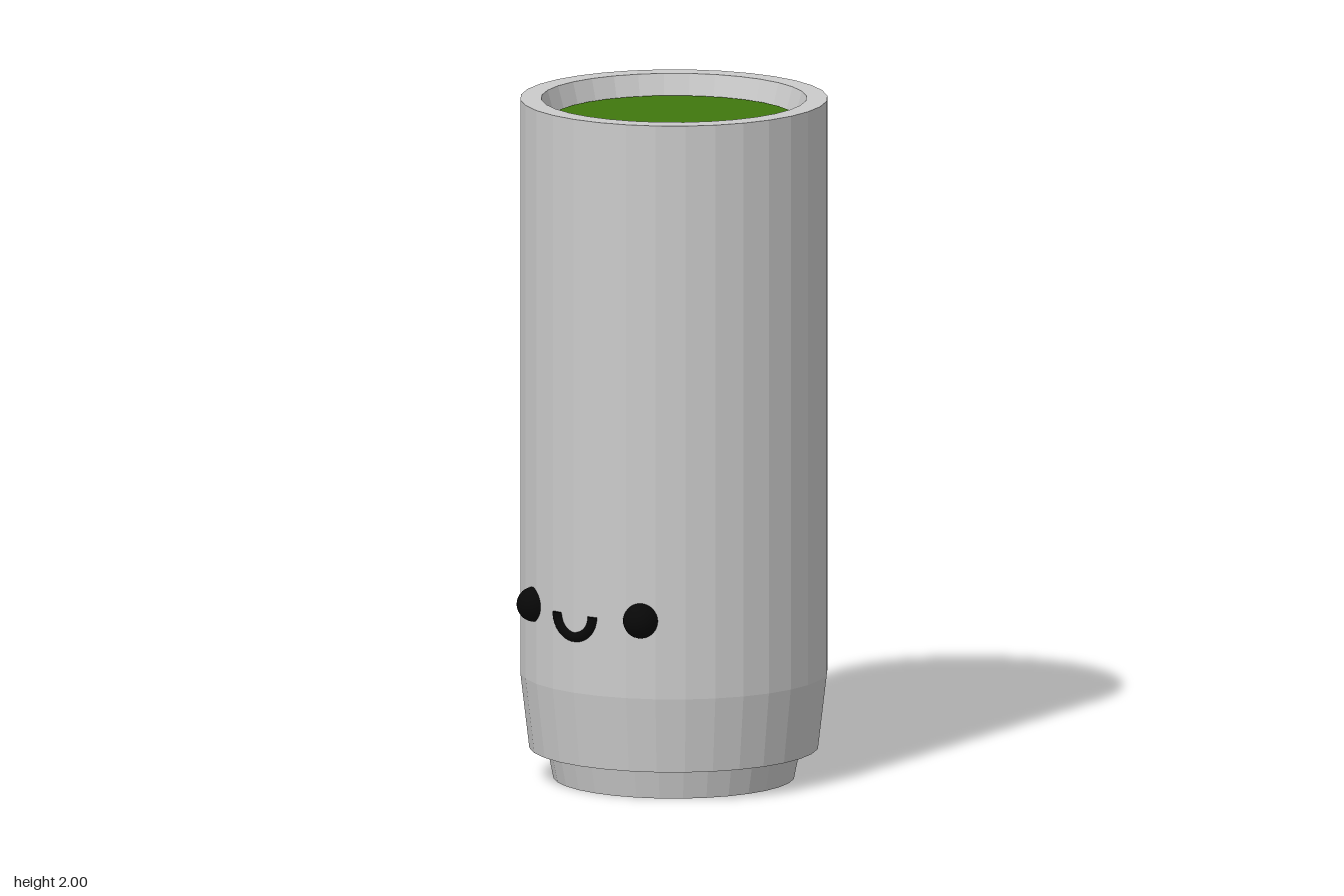
import * as THREE from 'three';

const SIDES = 32;
const HALF_STEP = Math.PI / SIDES;
const CENTRE_Z = -0.01;

const paint = (color) => new THREE.MeshStandardMaterial({ color });

function add(parent, name, geometry, material, x = 0, y = 0, z = 0) {
  const mesh = new THREE.Mesh(geometry, material);
  mesh.name = name;
  mesh.position.set(x, y, z);
  parent.add(mesh);
  return mesh;
}

const lathe = (points) => new THREE.LatheGeometry(
  points.map(([r, y]) => new THREE.Vector2(r, y)), SIDES, HALF_STEP);

export function createModel() {
  const model = new THREE.Group();
  model.name = 'smilingCup';

  const grey = paint(0xcccccc);
  grey.flatShading = true;
  const black = paint(0x080808);

  // Cup: stepped foot, tapered skirt, straight wall, flat rim and hollow inside
  add(model, 'cup', lathe([
    [0, 0], [0.35, 0], [0.368, 0.09], [0.42, 0.09], [0.446, 0.31],
    [0.446, 2], [0.385, 2], [0.362, 1.92], [0.34, 0.12], [0, 0.12],
  ]), grey, 0, 0, CENTRE_Z);

  // Drink: purple body just inside the wall, with a green surface on top
  add(model, 'drinkBody', lathe([[0, 0.14], [0.335, 0.14], [0.361, 1.936], [0, 1.936]]),
    paint(0x8a63a8), 0, 0, CENTRE_Z);
  const surface = add(model, 'drinkSurface', new THREE.CircleGeometry(0.357, SIDES),
    paint(0x40780e), 0, 1.94, CENTRE_Z);
  surface.rotation.x = -Math.PI / 2;

  // Eyes: balls half sunk into the wall
  const eye = new THREE.SphereGeometry(0.051, 24, 16);
  add(model, 'rightEye', eye, black, -0.155, 0.54, 0.402);
  add(model, 'leftEye', eye, black, 0.248, 0.54, 0.361);

  // Smile: lower half of a ring with closed ends, turned to follow the wall
  const smile = new THREE.Group();
  smile.name = 'smile';
  smile.position.set(0.043, 0.54, 0.425);
  smile.rotation.y = 0.12;
  model.add(smile);
  const arc = add(smile, 'mouth', new THREE.TorusGeometry(0.066, 0.0165, 12, 24, Math.PI), black);
  arc.rotation.z = Math.PI;
  for (const side of [-1, 1]) {
    const cap = add(smile, 'mouthEnd', new THREE.CircleGeometry(0.0165, 12), black, side * 0.066);
    cap.rotation.x = -Math.PI / 2;
  }

  return model;
}
